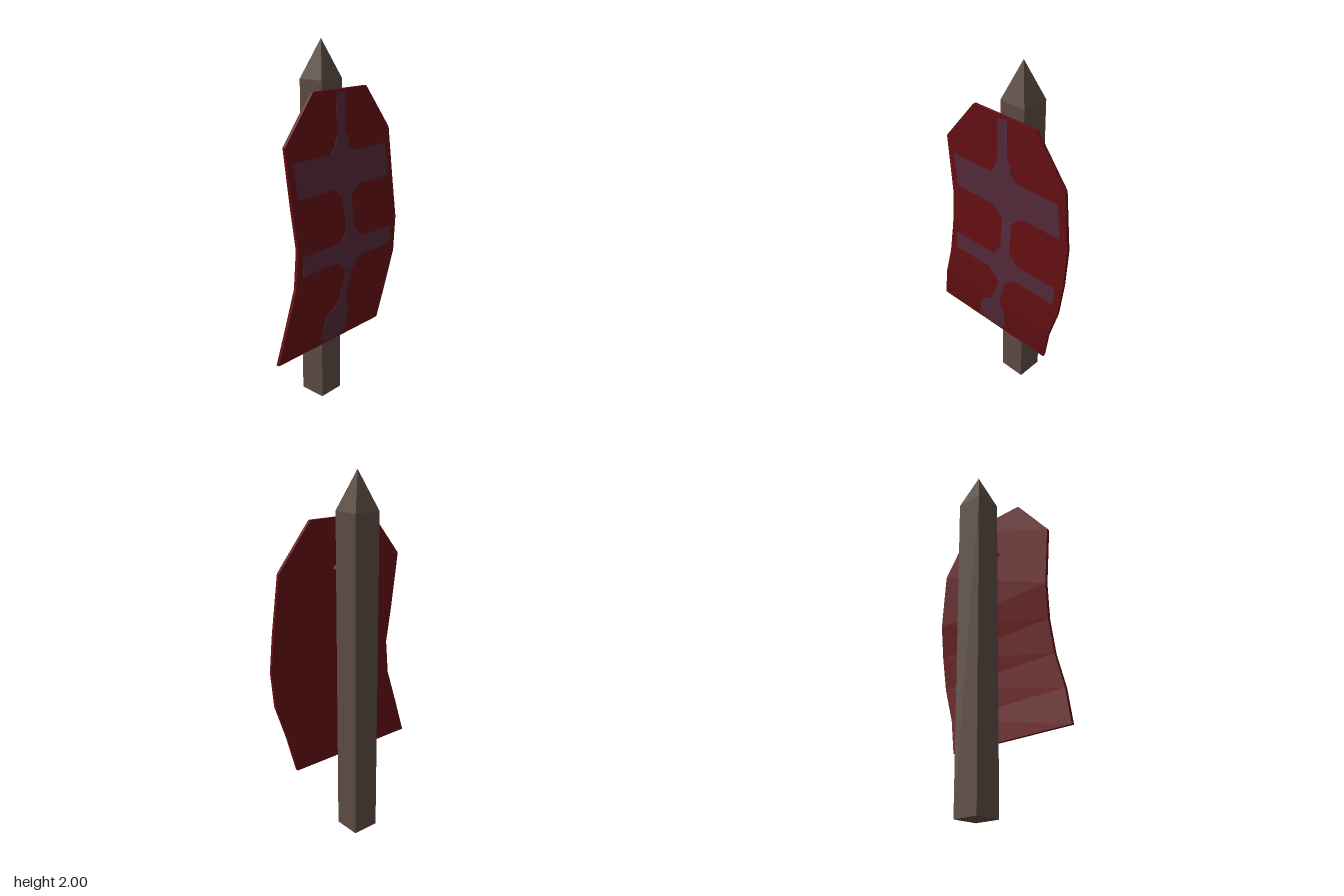
import * as THREE from 'three';

const wood = new THREE.MeshStandardMaterial({ color: 0x5c4c43, flatShading: true });
const cloth = new THREE.MeshStandardMaterial({ color: 0x640f12, flatShading: true });
const dye = new THREE.MeshStandardMaterial({ color: 0x54293a, flatShading: true });

// Cloth billow: [height, x of the outer face]
const billow = [[1.76, 0.082], [1.52, 0.088], [1.2, 0.098], [1, 0.122], [0.8, 0.13], [0.6, 0.123], [0.4, 0.101]];

function billowX(y) {
  for (let i = 0; i < billow.length - 1; i++) {
    const [y0, x0] = billow[i], [y1, x1] = billow[i + 1];
    if (y >= y1) return x0 + (x1 - x0) * (y0 - y) / (y0 - y1);
  }
  return billow[billow.length - 1][1];
}

// Slab following the billow; rows run downwards as [y, zLeft, zRight]
function drape(rows, outer, inner) {
  const rings = rows.map(([y, a, b]) => {
    const x = billowX(y);
    return [[x + outer, y, a], [x + outer, y, b], [x + inner, y, b], [x + inner, y, a]];
  });
  const pos = [];
  const quad = (a, b, c, d) => pos.push(...a, ...b, ...c, ...a, ...c, ...d);
  for (let i = 0; i < rings.length - 1; i++) {
    const t = rings[i], u = rings[i + 1];
    if (t[0][1] === u[0][1]) continue; // sudden change of width
    for (let k = 0; k < 4; k++) {
      const n = (k + 1) % 4;
      quad(t[k], u[k], u[n], t[n]);
    }
  }
  const top = rings[0], end = rings[rings.length - 1];
  quad(top[0], top[1], top[2], top[3]);
  quad(end[3], end[2], end[1], end[0]);
  const g = new THREE.BufferGeometry();
  g.setAttribute('position', new THREE.Float32BufferAttribute(pos, 3));
  g.computeVertexNormals();
  return g;
}

export function createModel() {
  const group = new THREE.Group();
  const add = (name, geometry, material, x = 0, y = 0, z = 0) => {
    const mesh = new THREE.Mesh(geometry, material);
    mesh.name = name;
    mesh.position.set(x, y, z);
    group.add(mesh);
    return mesh;
  };

  // Square post with a pointed top
  const px = -0.055, pz = -0.022, w = 0.154;
  add('post', new THREE.BoxGeometry(w, 1.8, w), wood, px, 0.9, pz);
  const tip = new THREE.ConeGeometry(w / Math.SQRT2, 0.2, 4, 1, true).rotateY(Math.PI / 4);
  add('postTip', tip, wood, px, 1.9, pz);

  // Flattened peg holding the cloth
  const peg = new THREE.CylinderGeometry(0.5, 0.5, 0.07, 8).rotateY(Math.PI / 8).rotateZ(Math.PI / 2);
  add('peg', peg, wood, 0.045, 1.502, -0.023).scale.set(1, 0.035, 0.115);

  // Hanging cloth
  add('banner', drape([
    [1.76, 0.18, -0.222], [1.52, 0.38, -0.415], [1.2, 0.345, -0.455], [1, 0.335, -0.46],
    [0.8, 0.36, -0.438], [0.6, 0.42, -0.376], [0.4, 0.465, -0.333],
  ], 0, -0.018), cloth);

  // Dyed pattern: stem, two cross bars and a rounded foot
  add('bannerPattern', drape([
    [1.745, 0.013, -0.05], [1.535, 0.013, -0.05], [1.52, 0.016, -0.075], [1.465, 0.037, -0.078],
    [1.437, 0.065, -0.118],
    [1.437, 0.33, -0.38], [1.25, 0.302, -0.407],
    [1.25, 0.04, -0.165], [1.2, -0.018, -0.1], [1.19, -0.025, -0.093], [1.02, -0.03, -0.093],
    [1, -0.016, -0.11], [0.96, 0.013, -0.148],
    [0.96, 0.3, -0.412], [0.853, 0.31, -0.405],
    [0.853, 0.05, -0.137], [0.8, -0.012, -0.077], [0.785, -0.018, -0.066], [0.626, 0.034, -0.023],
    [0.6, 0.07, -0.038], [0.56, 0.128, -0.058], [0.445, 0.154, -0.042], [0.41, 0.13, -0.01],
  ], 0.002, -0.002), dye);

  return group;
}
